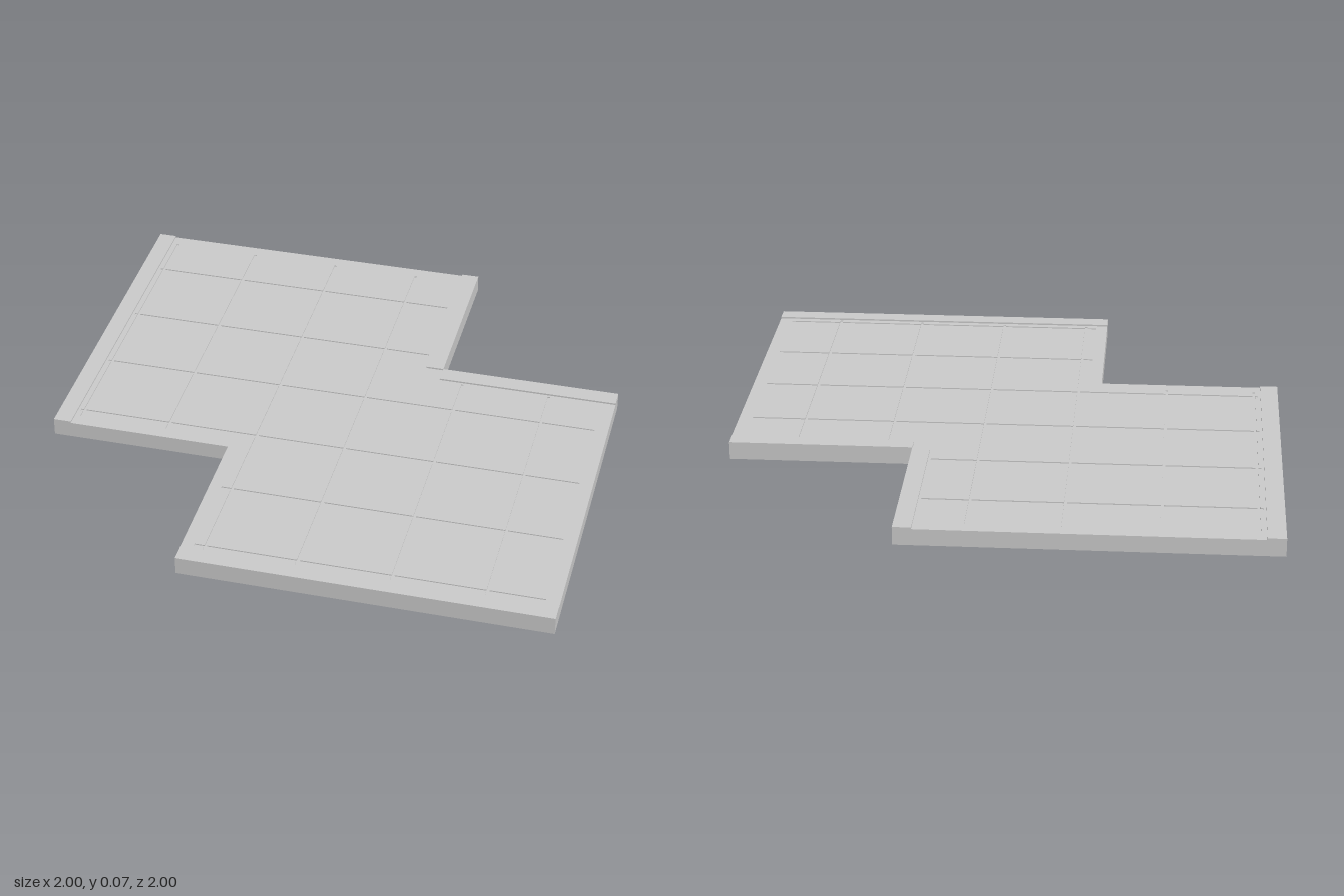
import * as THREE from 'three';

const FLOOR = 0.06, RIM = 0.066, GROOVE = 0.056, HALF = 0.005;

// Rectangles as [x0, x1, z0, z1]
const squares = [[-1, 0.33, -1, 0.33], [-0.33, 1, -0.335, 1]];
const rims = [
  [-1, -0.935, -1, 0.33], [0.265, 0.33, -1, -0.335],
  [0.33, 1, -0.335, -0.27], [-0.33, 1, 0.935, 1],
];
// Joints between the paving tiles: [position, start, end]
const alongZ = [
  [-0.91, -0.95, 0.28], [-0.58, -0.95, 0.28], [-0.245, -0.95, 0.925],
  [0.085, -0.95, 0.925], [0.42, -0.26, 0.925], [0.75, -0.26, 0.925],
];
const alongX = [
  [-0.755, -0.925, 0.255], [-0.42, -0.925, 0.255], [-0.09, -0.925, 0.95],
  [0.24, -0.925, 0.95], [0.57, -0.285, 0.95], [0.905, -0.285, 0.95],
];
const joints = [
  ...alongZ.map(([x, a, b]) => [x - HALF, x + HALF, a, b]),
  ...alongX.map(([z, a, b]) => [a, b, z - HALF, z + HALF]),
];

const hit = (list, x, z) => list.some(([a, b, c, d]) => x > a && x < b && z > c && z < d);

function heightAt(x, z) {
  if (!hit(squares, x, z)) return 0;
  if (hit(rims, x, z)) return RIM;
  return hit(joints, x, z) ? GROOVE : FLOOR;
}

// Closed stepped surface: flat cells with upright walls wherever the height changes
function steppedSlab() {
  const all = [...squares, ...rims, ...joints];
  const cuts = (i) => [...new Set(all.flatMap((r) => [r[i], r[i + 1]]))].sort((a, b) => a - b);
  const xs = cuts(0), zs = cuts(2);
  const h = (i, j) => heightAt((xs[i] + xs[i + 1]) / 2, (zs[j] + zs[j + 1]) / 2) || 0;
  const pos = [];
  const quad = (a, b, c, d) => pos.push(...a, ...b, ...c, ...a, ...c, ...d);

  for (let i = 0; i < xs.length - 1; i++) {
    for (let j = 0; j < zs.length - 1; j++) {
      const y = h(i, j);
      if (!y) continue;
      const [x0, x1, z0, z1] = [xs[i], xs[i + 1], zs[j], zs[j + 1]];
      // top and underside
      quad([x0, y, z0], [x0, y, z1], [x1, y, z1], [x1, y, z0]);
      quad([x0, 0, z0], [x1, 0, z0], [x1, 0, z1], [x0, 0, z1]);
      // walls down to each lower neighbour
      const sides = [
        [h(i, j + 1), x0, z1, x1, z1], [h(i, j - 1), x1, z0, x0, z0],
        [h(i + 1, j), x1, z1, x1, z0], [h(i - 1, j), x0, z0, x0, z1],
      ];
      for (const [low, ax, az, bx, bz] of sides) {
        if (low < y) quad([ax, low, az], [bx, low, bz], [bx, y, bz], [ax, y, az]);
      }
    }
  }
  const geometry = new THREE.BufferGeometry();
  geometry.setAttribute('position', new THREE.Float32BufferAttribute(pos, 3));
  geometry.computeVertexNormals();
  return geometry;
}

export function createModel() {
  const model = new THREE.Group();
  model.name = 'floorSection';
  const material = new THREE.MeshStandardMaterial({ color: 0xcccccc, flatShading: true });
  const slab = new THREE.Mesh(steppedSlab(), material);
  slab.name = 'tiledFloorWithRims';
  model.add(slab);
  return model;
}
